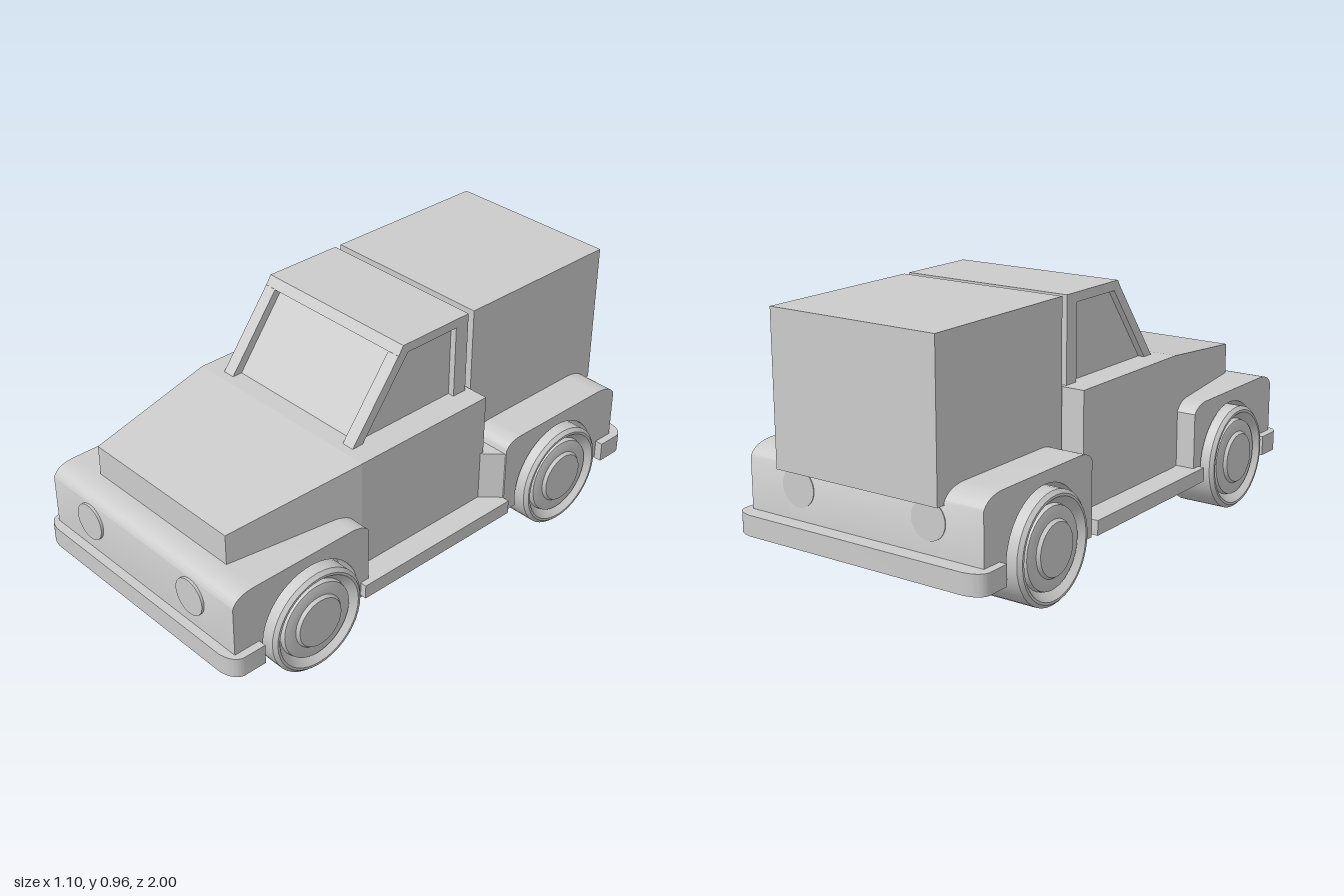
import * as THREE from 'three';
import { toCreasedNormals } from 'three/addons/utils/BufferGeometryUtils.js';

const material = new THREE.MeshStandardMaterial({ color: 0xcccccc });

export function createModel() {
  const model = new THREE.Group();

  function add(name, geometry) {
    const mesh = new THREE.Mesh(toCreasedNormals(geometry, 0.6), material);
    mesh.name = name;
    model.add(mesh);
    return mesh;
  }
  const polygon = (points) => new THREE.Shape(points.map((p) => new THREE.Vector2(...p)));
  const extrude = (shape, depth) =>
    new THREE.ExtrudeGeometry(shape, { depth, bevelEnabled: false, curveSegments: 16 });

  // Side profile given in (z, y), spanning x0..x1
  const sideways = (name, shape, x0, x1) =>
    add(name, extrude(shape, x1 - x0).rotateY(-Math.PI / 2).translate(x1, 0, 0));
  // Plan outline given in (x, -z), spanning y0..y1
  const upright = (name, shape, y0, y1) =>
    add(name, extrude(shape, y1 - y0).rotateX(-Math.PI / 2).translate(0, y0, 0));
  const box = (name, x, y0, y1, z0, z1) =>
    add(name, new THREE.BoxGeometry(2 * x, y1 - y0, z1 - z0)
      .translate(0, (y0 + y1) / 2, (z0 + z1) / 2));

  // Lower cab and tapering hood
  box('cabBody', 0.43, 0.15, 0.648, -0.28, 0.33);
  const hood = new THREE.BoxGeometry(1, 1, 1);
  const pos = hood.attributes.position;
  for (let i = 0; i < pos.count; i++) {
    const front = pos.getZ(i) > 0;
    const top = front ? 0.578 : 0.648;
    pos.setXYZ(i, Math.sign(pos.getX(i)) * (front ? 0.35 : 0.43),
      pos.getY(i) > 0 ? top : 0.2, front ? 0.865 : 0.33);
  }
  hood.computeVertexNormals();
  add('hood', hood);

  // Cab top: recessed glass, roof, rear wall and slanted pillars
  sideways('windows', polygon([[0.26, 0.64], [0.042, 0.935], [-0.22, 0.935], [-0.22, 0.64]]), -0.32, 0.32);
  sideways('roof', polygon([[0.0825, 0.93], [0.06, 0.965], [-0.26, 0.965], [-0.26, 0.93]]), -0.345, 0.345);
  box('cabRearWall', 0.345, 0.64, 0.932, -0.26, -0.2);
  const pillar = [[0.297, 0.645], [0.0825, 0.931], [0.036, 0.931], [0.25, 0.645]];
  sideways('leftPillar', polygon(pillar), 0.295, 0.345);
  sideways('rightPillar', polygon(pillar), -0.345, -0.295);

  // Cargo box
  box('cargoBox', 0.345, 0.405, 0.965, -0.975, -0.288);

  // Fender block profile with rounded upper corners, optionally with a wheel arch
  function fenderShape(z0, y0, c0, z1, y1, c1, wheelZ) {
    const s = new THREE.Shape();
    s.moveTo(z0, 0.15);
    if (wheelZ !== undefined) {
      s.lineTo(wheelZ - 0.209, 0.15);
      s.absarc(wheelZ, 0.2, 0.215, Math.PI + 0.235, -0.235, true);
    }
    s.lineTo(z1, 0.15);
    s.lineTo(z1, y1);
    s.quadraticCurveTo(z1 - 0.015, 0.46, c1, 0.46);
    s.lineTo(c0, 0.46);
    s.quadraticCurveTo(z0 + 0.02, 0.455, z0, y0);
    return s;
  }
  const fenders = [
    ['front', [0.363, 0.425, 0.44, 0.965, 0.415, 0.87], 0.63],
    ['rear', [-0.94, 0.415, -0.845, -0.33, 0.425, -0.41], -0.608],
  ];

  // Wheel profile (radius, outward offset) with dished rim and hub
  const wheelProfile = [
    [0, 0.335], [0.187, 0.335], [0.2, 0.348], [0.2, 0.53], [0.187, 0.543], [0.178, 0.543],
    [0.15, 0.512], [0.146, 0.53], [0.122, 0.536], [0.102, 0.536], [0.094, 0.548], [0, 0.548],
  ].map((p) => new THREE.Vector2(...p));

  for (const [end, profile, wheelZ] of fenders) {
    sideways(end + 'Body', fenderShape(...profile), -0.325, 0.325);
    for (const [side, s] of [['Left', 1], ['Right', -1]]) {
      const arch = fenderShape(...profile, wheelZ);
      sideways(end + side + 'Fender', arch, s > 0 ? 0.325 : -0.5, s > 0 ? 0.5 : -0.325);
      add(end + side + 'Wheel', new THREE.LatheGeometry(wheelProfile, 40)
        .rotateZ(-s * Math.PI / 2).translate(0, 0.2, wheelZ));
    }
  }

  // Chamfered leading edge of the rear fenders
  upright('rearFenderChamfer',
    polygon([[-0.5, 0.335], [-0.43, 0.265], [0.43, 0.265], [0.5, 0.335]].reverse()), 0.15, 0.41);

  // Running boards
  box('runningBoards', 0.525, 0.16, 0.215, -0.33, 0.4);

  // Bumpers with rounded outer corners, and round lamps
  const bumper = new THREE.Shape();
  bumper.moveTo(-0.53, -0.86);
  bumper.lineTo(-0.53, -0.95);
  bumper.quadraticCurveTo(-0.525, -0.99, -0.46, -1);
  bumper.lineTo(0.46, -1);
  bumper.quadraticCurveTo(0.525, -0.99, 0.53, -0.95);
  bumper.lineTo(0.53, -0.86);
  upright('frontBumper', bumper, 0.148, 0.225);
  upright('rearBumper', bumper, 0.148, 0.225).rotation.y = Math.PI;
  for (const s of [1, -1]) {
    const side = s > 0 ? 'left' : 'right';
    const lamp = () => new THREE.CylinderGeometry(0.07, 0.07, 0.03, 32).rotateX(Math.PI / 2);
    add(side + 'Headlight', lamp().translate(s * 0.28, 0.343, 0.96));
    add(side + 'TailLight', lamp().translate(s * 0.28, 0.343, -0.928));
  }

  return model;
}
